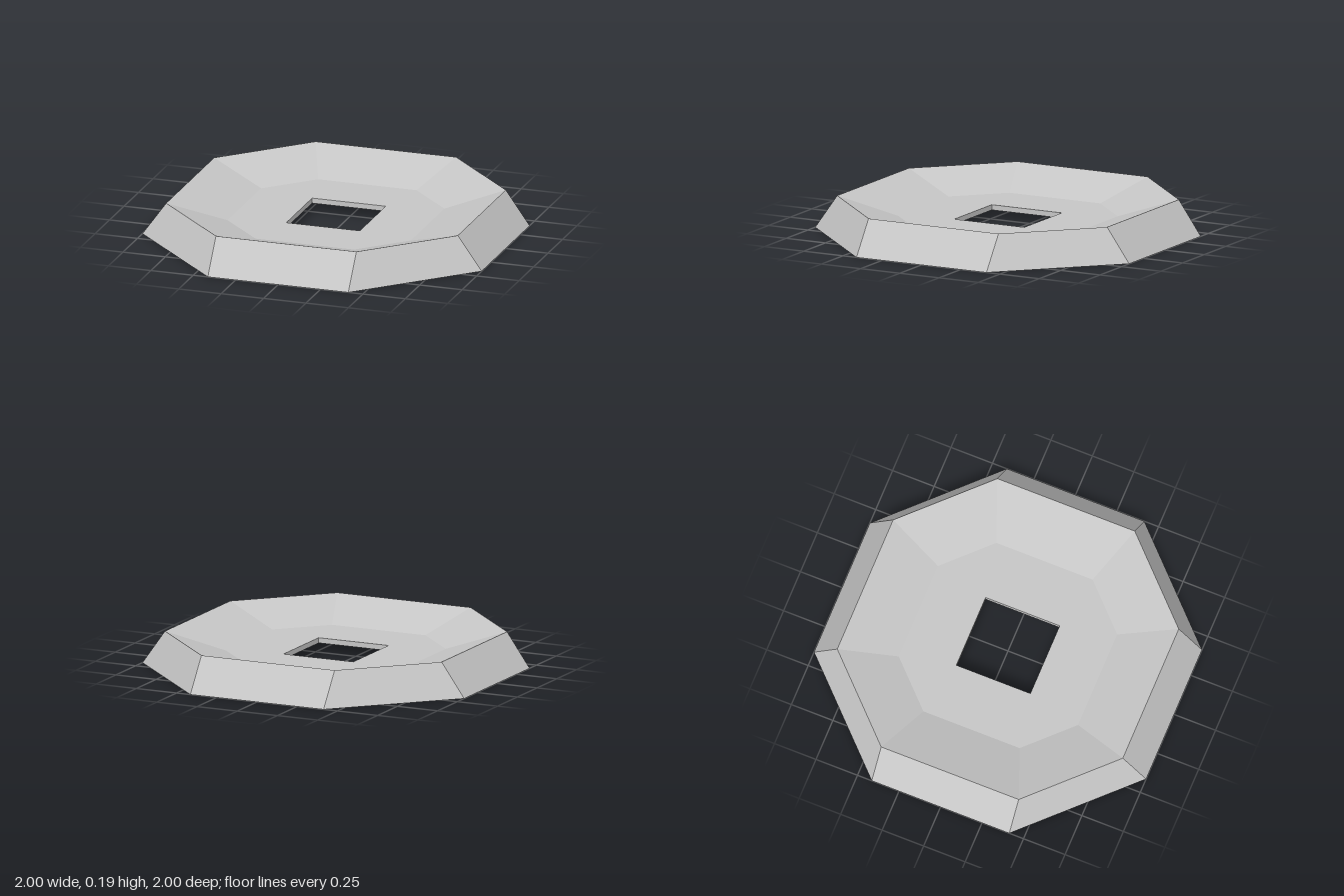
import * as THREE from 'three';

// Eight corners of a square-with-cut-corners ring: a = half width, b = half length of the straight sides
function octagon(a, b) {
  return [[a, -b], [a, b], [b, a], [-b, a], [-a, b], [-a, -b], [-b, -a], [b, -a]];
}

// Flat-faced surface joining a sequence of octagonal rings [a, b, y]
function ringShell(rings) {
  const positions = [];
  for (let r = 0; r < rings.length - 1; r++) {
    const [lower, upper] = [rings[r], rings[r + 1]].map(([a, b, y]) =>
      octagon(a, b).map(([x, z]) => [x, y, z]));
    for (let i = 0; i < 8; i++) {
      const j = (i + 1) % 8;
      positions.push(...lower[j], ...lower[i], ...upper[i]);
      positions.push(...lower[j], ...upper[i], ...upper[j]);
    }
  }
  const geometry = new THREE.BufferGeometry();
  geometry.setAttribute('position', new THREE.Float32BufferAttribute(positions, 3));
  geometry.computeVertexNormals();
  return geometry;
}

export function createModel() {
  const group = new THREE.Group();
  group.name = 'octagonalDish';
  const grey = new THREE.MeshStandardMaterial({ color: 0xc6c6c6 });
  grey.name = 'grey';

  const floorA = 0.54, floorB = 0.29, floorBottom = 0.06, floorTop = 0.09;

  // Sloping skirt and dish sides, from the underside round to the top
  const rim = new THREE.Mesh(ringShell([
    [floorA, floorB, floorBottom],
    [0.83, 0.4, 0.157],
    [0.955, 0.4, 0],
    [1, 0.414, 0],
    [0.86, 0.414, 0.195],
    [floorA, floorB, floorTop],
  ]), grey);
  rim.name = 'rim';
  group.add(rim);

  // Flat floor with a square opening
  const shape = new THREE.Shape(octagon(floorA, floorB).map(([x, y]) => new THREE.Vector2(x, y)));
  const hx = 0.217, hz = 0.223;
  shape.holes.push(new THREE.Path([[-hx, -hz], [-hx, hz], [hx, hz], [hx, -hz]]
    .map(([x, y]) => new THREE.Vector2(x, y))));
  const floorGeometry = new THREE.ExtrudeGeometry(shape, { depth: floorTop - floorBottom, bevelEnabled: false });
  floorGeometry.rotateX(-Math.PI / 2);
  floorGeometry.translate(0, floorBottom, 0);
  const floor = new THREE.Mesh(floorGeometry, grey);
  floor.name = 'floor';
  group.add(floor);

  return group;
}
